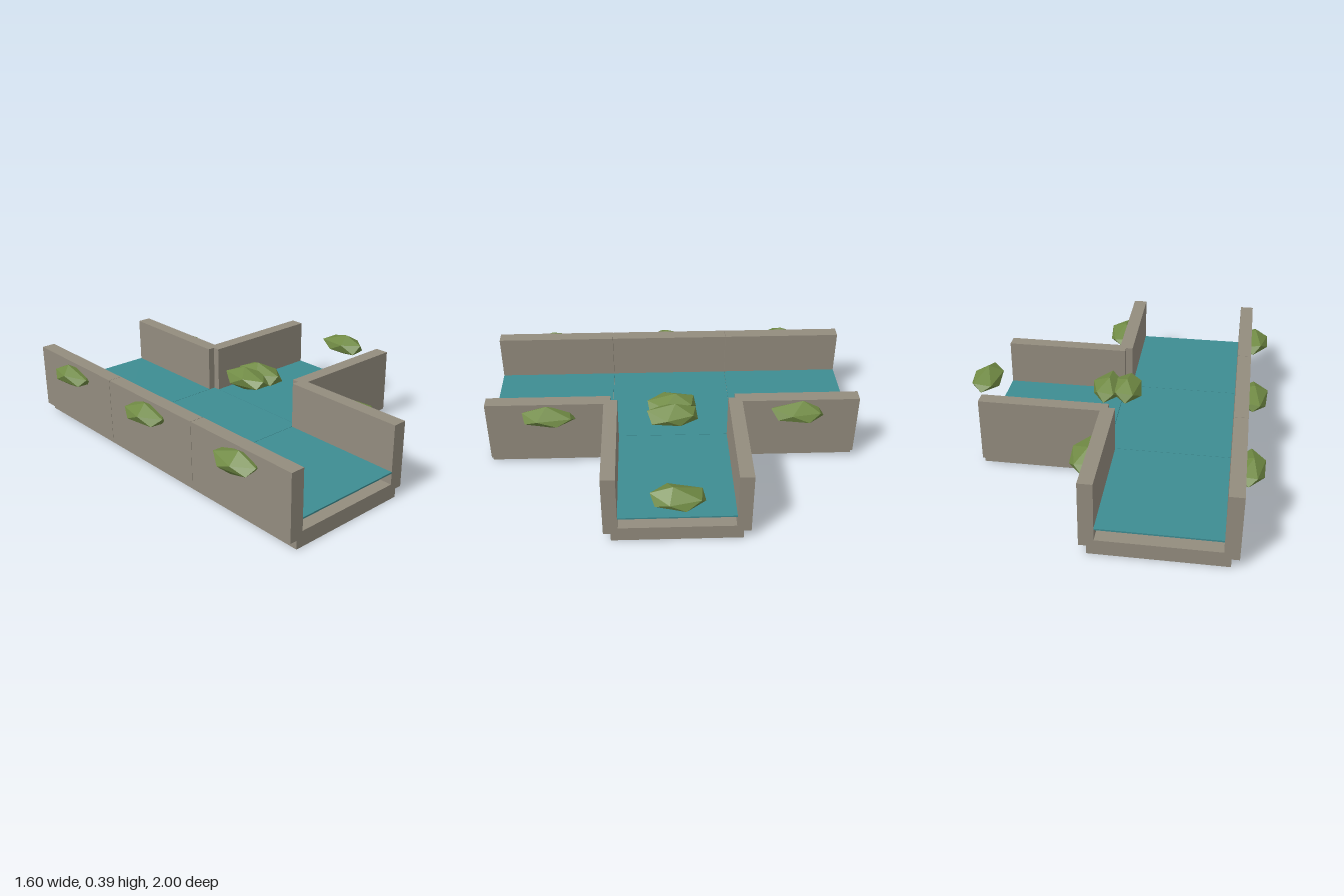
import * as THREE from 'three';
import { ConvexGeometry } from 'three/addons/geometries/ConvexGeometry.js';

const TILE = 2 / 3, HALF = TILE / 2;
const WALL = 0.073, WALL_BOTTOM = 0.045, WALL_TOP = 0.39;

const stone = new THREE.MeshStandardMaterial({ color: 0x938c7e });
const waterMat = new THREE.MeshStandardMaterial({ color: 0x3d8c92 });
const leaf = new THREE.MeshStandardMaterial({ color: 0x708a44, flatShading: true });

// Box given by its limits on each axis
function block(name, material, [x0, x1], [y0, y1], [z0, z1]) {
  const mesh = new THREE.Mesh(new THREE.BoxGeometry(x1 - x0, y1 - y0, z1 - z0), material);
  mesh.name = name;
  mesh.position.set((x0 + x1) / 2, (y0 + y1) / 2, (z0 + z1) / 2);
  return mesh;
}

function seeded(seed) {
  return () => {
    seed = (seed * 16807) % 2147483647;
    return seed / 2147483647;
  };
}

// Faceted bush: two staggered rings of five points between a top and a bottom tip
function bush(x, z, seed) {
  const rand = seeded(seed * 7919 + 13);
  const jitter = (amount) => (rand() - 0.5) * amount;
  const points = [
    new THREE.Vector3(jitter(0.04), 0.063, jitter(0.06)),
    new THREE.Vector3(jitter(0.04), -0.065, jitter(0.06)),
  ];
  for (const side of [1, -1]) {
    for (let i = 0; i < 5; i++) {
      const a = ((i + (side > 0 ? 0 : 0.5)) / 5) * Math.PI * 2 + Math.PI / 2 + jitter(0.2);
      const r = 1 + jitter(0.16);
      points.push(new THREE.Vector3(
        Math.cos(a) * r * 0.08, side * 0.02 + jitter(0.014), Math.sin(a) * r * 0.138));
    }
  }
  const mesh = new THREE.Mesh(new ConvexGeometry(points), leaf);
  mesh.name = 'bush';
  mesh.position.set(x, 0.322, z);
  return mesh;
}

export function createModel() {
  const model = new THREE.Group();
  model.name = 'canalJunction';

  // Tile centres, and which sides carry a wall
  const tiles = [
    { name: 'backChannel', x: -HALF, z: -TILE, walls: ['-x', '+x'] },
    { name: 'junction', x: -HALF, z: 0, walls: ['-x'] },
    { name: 'frontChannel', x: -HALF, z: TILE, walls: ['-x', '+x'] },
    { name: 'sideChannel', x: HALF, z: 0, walls: ['-z', '+z'] },
  ];

  tiles.forEach(({ name, x, z, walls }, index) => {
    const tile = new THREE.Group();
    tile.name = name;
    const e = HALF - 0.001; // hairline joint between tiles
    tile.add(block('floor', stone, [x - e, x + e], [0, 0.08], [z - e, z + e]));

    // Walls straddle the tile edge and overhang the floor slab
    const inner = { '-x': e, '+x': e, '-z': e, '+z': e };
    for (const side of walls) {
      const sign = side[0] === '-' ? -1 : 1;
      const c = sign * HALF;
      const across = [c - WALL / 2, c + WALL / 2], along = [-e, e];
      const [wx, wz] = side[1] === 'x' ? [across, along] : [along, across];
      tile.add(block('wall', stone, wx.map((v) => v + x), [WALL_BOTTOM, WALL_TOP], wz.map((v) => v + z)));
      inner[side] = HALF - WALL / 2;
    }

    // Thin sheet of water between the walls
    tile.add(block('water', waterMat,
      [x - inner['-x'], x + inner['+x']], [0.139, 0.147], [z - inner['-z'], z + inner['+z']]));

    // One bush beyond each x side
    for (const s of [-1, 1]) tile.add(bush(x + s * 0.385, z, index * 2 + (s + 3) / 2));
    model.add(tile);
  });

  return model;
}
